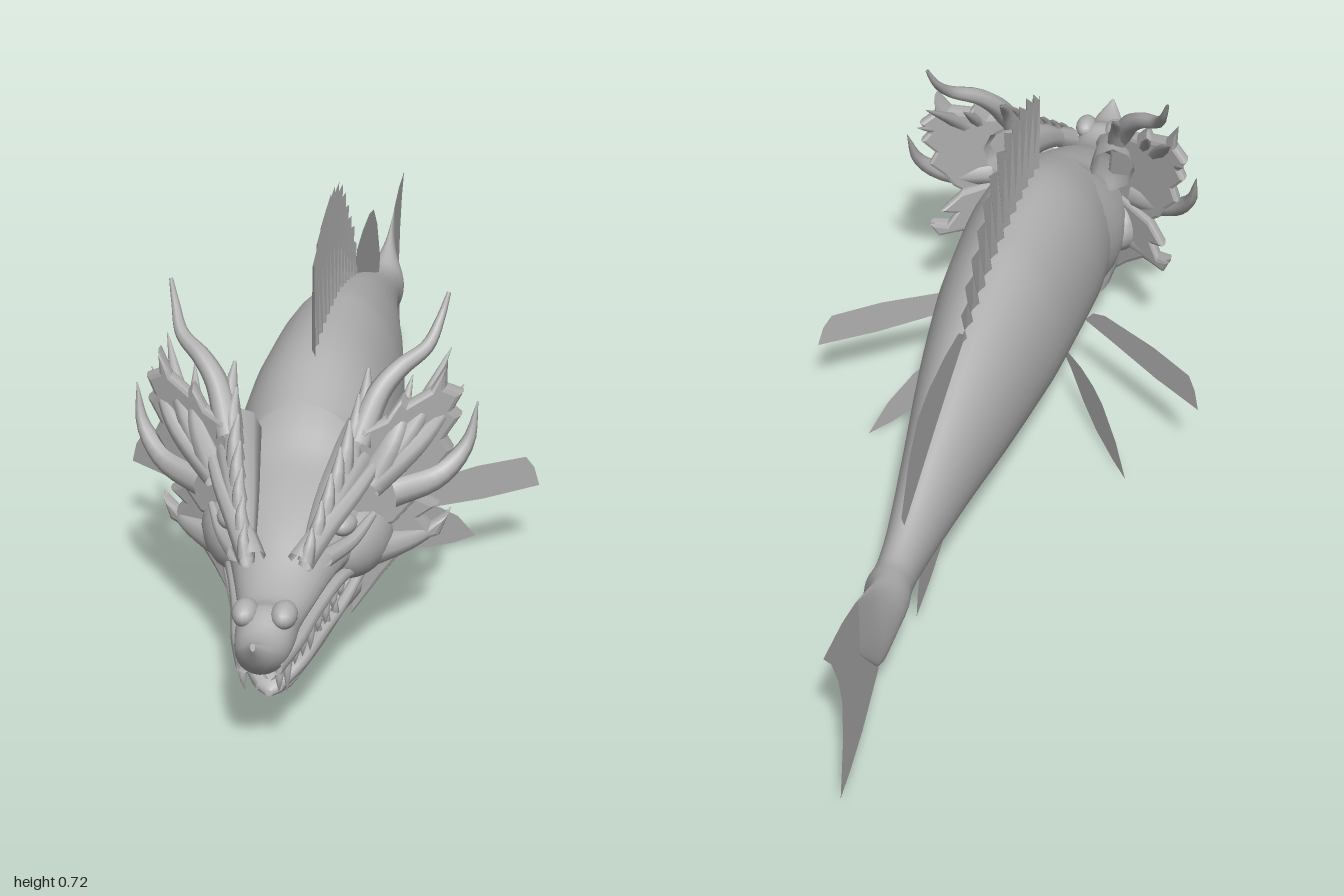
import * as THREE from 'three';

const grey = new THREE.MeshStandardMaterial({ color: 0xb0b0b0, side: THREE.DoubleSide });
grey.name = 'stone grey';
const V = (p) => new THREE.Vector3(...p);

function add(group, name, geo) {
  const m = new THREE.Mesh(geo, grey);
  m.name = name;
  group.add(m);
  return m;
}

// Smooth skin over oval rings [z, bottom, waist height, top, half width], front to back
function loft(rings, steps = 3, n = 28) {
  const last = rings.length - 1, count = last * steps;
  const pos = [], idx = [];
  const cat = (a, b, c, d, t) => 0.5 * (2 * b + (c - a) * t + (2 * a - 5 * b + 4 * c - d) * t * t + (3 * b - a - 3 * c + d) * t ** 3);
  for (let i = 0; i <= count; i++) {
    const k = Math.min(Math.floor(i / steps), last - 1), t = i / steps - k;
    const at = (q) => rings[Math.max(0, Math.min(last, q))];
    const [z, bot, mid, top, w] = rings[0].map((_, c) => cat(at(k - 1)[c], at(k)[c], at(k + 1)[c], at(k + 2)[c], t));
    for (let j = 0; j < n; j++) {
      const a = (j / n) * Math.PI * 2, s = Math.sin(a);
      pos.push(w * Math.cos(a), mid + s * (s > 0 ? top - mid : mid - bot), z);
    }
  }
  for (let i = 0; i < count; i++) for (let j = 0; j < n; j++) {
    const a = i * n + j, b = i * n + (j + 1) % n;
    idx.push(a, a + n, b, b, a + n, b + n);
  }
  const g = new THREE.BufferGeometry();
  g.setAttribute('position', new THREE.Float32BufferAttribute(pos, 3));
  g.setIndex(idx);
  g.computeVertexNormals();
  return g;
}

// Curved tapering spike through points
function spike(points, r, segs = 12, tip = 0.03) {
  const curve = new THREE.CatmullRomCurve3(points.map(V));
  const g = new THREE.TubeGeometry(curve, segs, r, 8);
  const p = g.attributes.position, v = new THREE.Vector3();
  for (let i = 0; i < p.count; i++) {
    const u = Math.floor(i / 9) / segs;
    v.fromBufferAttribute(p, i).sub(curve.getPointAt(u)).multiplyScalar(1 - (1 - tip) * u ** 1.4).add(curve.getPointAt(u));
    p.setXYZ(i, v.x, v.y, v.z);
  }
  return g;
}

// Flat outline placed in space by a rule (a, b) -> [x, y, z]
function plate(outline, rule) {
  const g = new THREE.ShapeGeometry(new THREE.Shape(outline.map((p) => new THREE.Vector2(...p))));
  const p = g.attributes.position;
  for (let i = 0; i < p.count; i++) p.setXYZ(i, ...rule(p.getX(i), p.getY(i)));
  g.computeVertexNormals();
  return g;
}

// Thick bevelled frill in the x-y plane, swept backwards as x grows
function frill(outline, z0, slope) {
  const g = new THREE.ExtrudeGeometry(new THREE.Shape(outline.map((p) => new THREE.Vector2(...p))),
    { depth: 0.012, bevelEnabled: true, bevelThickness: 0.012, bevelSize: 0.008, bevelOffset: -0.008, bevelSegments: 2 });
  const p = g.attributes.position;
  for (let i = 0; i < p.count; i++) p.setZ(i, p.getZ(i) + z0 - slope * (p.getX(i) - 0.1));
  g.computeVertexNormals();
  return g;
}

function ball(group, name, at, scale, tilt = [0, 0, 0]) {
  const m = add(group, name, new THREE.SphereGeometry(1, 16, 12));
  m.position.set(...at);
  m.scale.set(...scale);
  m.rotation.set(...tilt);
}

// Everything that exists once per side, built for +x
function buildSide() {
  const s = new THREE.Group();
  add(s, 'horn', spike([[0.11, 0.43, 0.58], [0.14, 0.505, 0.53], [0.17, 0.538, 0.5], [0.213, 0.565, 0.46], [0.232, 0.605, 0.42], [0.243, 0.643, 0.4]], 0.024, 24, 0.15));
  add(s, 'earFrill', frill([[0.08, 0.27], [0.09, 0.4], [0.12, 0.46], [0.155, 0.47], [0.18, 0.505], [0.19, 0.49], [0.225, 0.505], [0.25, 0.545],
    [0.25, 0.505], [0.277, 0.487], [0.262, 0.46], [0.275, 0.445], [0.25, 0.41], [0.262, 0.385], [0.235, 0.35], [0.22, 0.32], [0.17, 0.27]], 0.585, 0.75));
  add(s, 'earSpike', spike([[0.16, 0.33, 0.55], [0.24, 0.345, 0.5], [0.285, 0.39, 0.465], [0.3, 0.46, 0.44]], 0.03));
  for (const [x, y, z] of [[0.25, 0.545, 0.41], [0.275, 0.487, 0.43], [0.19, 0.515, 0.47]])
    add(s, 'frillRib', spike([[0.13, 0.36, 0.59], [(0.13 + x) / 2 + 0.01, (0.36 + y) / 2, (0.59 + z) / 2 + 0.02], [x, y, z]], 0.028));
  add(s, 'cheekFrill', frill([[0.09, 0.32], [0.2, 0.31], [0.238, 0.275], [0.21, 0.262], [0.225, 0.24], [0.255, 0.252], [0.24, 0.215], [0.19, 0.212], [0.15, 0.17], [0.1, 0.11]], 0.575, 0.85));
  add(s, 'cheekSpike', spike([[0.12, 0.23, 0.58], [0.2, 0.225, 0.5], [0.235, 0.23, 0.46], [0.256, 0.255, 0.44]], 0.032));
  ball(s, 'cheek', [0.11, 0.25, 0.575], [0.05, 0.065, 0.09], [0, -0.4, 0]);

  // Brow, eye and crown ridge
  add(s, 'brow', spike([[0.04, 0.295, 0.77], [0.075, 0.335, 0.71], [0.115, 0.37, 0.64], [0.155, 0.41, 0.55]], 0.024, 12, 0.3));
  ball(s, 'eye', [0.1, 0.318, 0.665], [0.018, 0.018, 0.028], [0, -0.4, 0]);
  add(s, 'lowerLid', spike([[0.075, 0.285, 0.73], [0.112, 0.288, 0.66], [0.14, 0.31, 0.6]], 0.016, 10, 0.4));
  add(s, 'crownRidge', spike([[0.115, 0.41, 0.5], [0.1, 0.395, 0.57], [0.075, 0.355, 0.67], [0.05, 0.29, 0.77]], 0.045, 16, 0.3));
  for (let i = 0; i < 7; i++) {
    const t = i / 6, x = 0.05 + 0.06 * t, y = 0.3 + 0.135 * t, z = 0.775 - 0.215 * t, h = 0.045 + 0.05 * t;
    add(s, 'crownSpine', spike([[x, y, z], [x + 0.006, y + h * 0.6, z - h * 0.3], [x + 0.006, y + h, z - h * 0.75]], 0.014 + 0.006 * t, 6, 0.15));
  }

  // Snout details
  ball(s, 'nostril', [0.032, 0.258, 0.885], [0.022, 0.022, 0.032]);
  add(s, 'upperLip', spike([[0.025, 0.19, 0.94], [0.048, 0.198, 0.86], [0.065, 0.208, 0.77], [0.095, 0.22, 0.66], [0.12, 0.2, 0.58]], 0.014, 16, 0.7));
  add(s, 'lowerLip', spike([[0.012, 0.105, 0.845], [0.045, 0.128, 0.8], [0.07, 0.145, 0.72], [0.095, 0.165, 0.65], [0.12, 0.2, 0.58]], 0.013, 16, 0.7));

  // Teeth along both jaws
  for (let i = 0; i < 9; i++) {
    const t = i / 8, x = 0.03 + 0.062 * t, z = 0.925 - 0.26 * t, h = [0.055, 0.075, 0.045, 0.05, 0.06, 0.045, 0.05, 0.04, 0.035][i];
    add(s, 'upperTooth', spike([[x, 0.19 + 0.025 * t, z], [x, 0.19 + 0.025 * t - h * 0.5, z + 0.003], [x - 0.002, 0.19 + 0.025 * t - h, z - 0.006]], 0.009, 5));
    if (i > 6) continue;
    const u = i / 6, h2 = i === 1 ? 0.065 : 0.04;
    add(s, 'lowerTooth', spike([[0.02 + 0.065 * u, 0.11 + 0.045 * u, 0.83 - 0.15 * u], [0.021 + 0.065 * u, 0.11 + 0.045 * u + h2 / 2, 0.833 - 0.15 * u],
      [0.021 + 0.063 * u, 0.11 + 0.045 * u + h2, 0.825 - 0.15 * u]], 0.008, 5));
  }

  // Paired fins, swept back
  add(s, 'pectoralFin', plate([[0.11, 0.165], [0.13, 0.195], [0.16, 0.21], [0.28, 0.22], [0.365, 0.215], [0.38, 0.19], [0.39, 0.15], [0.29, 0.15], [0.18, 0.16]],
    (x, y) => [x, y, 0.295 - (x - 0.135) * 0.75]));
  add(s, 'pelvicFin', plate([[0.06, 0.115], [0.13, 0.125], [0.165, 0.12], [0.195, 0.105], [0.235, 0.06], [0.265, 0.003], [0.23, 0.007], [0.18, 0.023], [0.14, 0.05], [0.1, 0.09]],
    (x, y) => [x, y, 0.27 - (x - 0.08) * 1.27]));
  return s;
}

export function createModel() {
  const model = new THREE.Group();
  model.name = 'dragonFish';

  add(model, 'body', loft([
    [0.47, 0.09, 0.26, 0.45, 0.13], [0.36, 0.095, 0.28, 0.492, 0.14], [0.25, 0.1, 0.29, 0.508, 0.139], [0.1, 0.11, 0.29, 0.505, 0.131],
    [0, 0.12, 0.29, 0.492, 0.121], [-0.17, 0.135, 0.285, 0.45, 0.098], [-0.35, 0.16, 0.27, 0.388, 0.069], [-0.53, 0.183, 0.25, 0.32, 0.043],
    [-0.62, 0.187, 0.245, 0.297, 0.036], [-0.67, 0.172, 0.24, 0.303, 0.04], [-0.72, 0.128, 0.24, 0.32, 0.024], [-0.76, 0.165, 0.25, 0.338, 0.012], [-0.82, 0.24, 0.29, 0.362, 0.002]], 4, 32));

  add(model, 'skullAndUpperJaw', loft([
    [1.0, 0.25, 0.258, 0.265, 0.004], [0.97, 0.2, 0.23, 0.252, 0.028], [0.93, 0.172, 0.21, 0.25, 0.042], [0.885, 0.18, 0.215, 0.27, 0.05], [0.84, 0.188, 0.22, 0.262, 0.052],
    [0.78, 0.2, 0.23, 0.28, 0.066], [0.7, 0.212, 0.25, 0.325, 0.09], [0.62, 0.18, 0.265, 0.36, 0.12], [0.55, 0.12, 0.265, 0.385, 0.14],
    [0.48, 0.1, 0.265, 0.43, 0.145], [0.4, 0.11, 0.28, 0.47, 0.133]]));

  add(model, 'lowerJaw', loft([
    [0.855, 0.088, 0.093, 0.1, 0.006], [0.83, 0.084, 0.102, 0.115, 0.034], [0.78, 0.09, 0.118, 0.13, 0.056], [0.72, 0.098, 0.13, 0.142, 0.075],
    [0.64, 0.108, 0.155, 0.175, 0.1], [0.56, 0.1, 0.17, 0.22, 0.125], [0.46, 0.092, 0.18, 0.24, 0.128]]));
  add(model, 'chinBarb', spike([[0, 0.12, 0.6], [0, 0.092, 0.53], [0, 0.055, 0.475]], 0.035));

  // Spiny dorsal fin: pleated strip with a toothed upper edge
  const crest = new THREE.CatmullRomCurve3([[0, 0.66, 0.36], [0, 0.7, 0.28], [0, 0.725, 0.13], [0, 0.69, 0.0], [0, 0.6, -0.1], [0, 0.53, -0.175], [0, 0.455, -0.195]].map(V));
  const foot = new THREE.CatmullRomCurve3([[0, 0.47, 0.36], [0, 0.49, 0.18], [0, 0.47, 0], [0, 0.42, -0.19]].map(V));
  const pos = [], idx = [], folds = 26;
  for (let i = 0; i <= folds; i++) {
    const a = foot.getPointAt(i / folds), b = crest.getPointAt(i / folds), odd = i % 2;
    b.lerp(a, odd ? 0.1 : 0);
    if (!odd) b.z -= 0.008;
    pos.push(odd ? -0.005 : 0.005, a.y, a.z, odd ? -0.004 : 0.002, b.y, b.z);
    if (i < folds) idx.push(2 * i, 2 * i + 1, 2 * i + 2, 2 * i + 2, 2 * i + 1, 2 * i + 3);
  }
  const pleats = new THREE.BufferGeometry();
  pleats.setAttribute('position', new THREE.Float32BufferAttribute(pos, 3));
  pleats.setIndex(idx);
  const flat = pleats.toNonIndexed();
  flat.computeVertexNormals();
  add(model, 'spinyDorsalFin', flat);

  // Flat fins on the centre line, outlines in (z, y)
  const centre = (z, y) => [0, y, z];
  add(model, 'rearDorsalFin', plate([[-0.18, 0.43], [-0.19, 0.465], [-0.215, 0.485], [-0.3, 0.495], [-0.4, 0.495], [-0.47, 0.48], [-0.525, 0.43], [-0.575, 0.34], [-0.555, 0.305], [-0.35, 0.36]], centre));
  add(model, 'analFin', plate([[-0.22, 0.15], [-0.26, 0.118], [-0.32, 0.088], [-0.41, 0.06], [-0.5, 0.045], [-0.49, 0.095], [-0.47, 0.135], [-0.44, 0.185], [-0.33, 0.18]], centre));
  add(model, 'tailFin', plate([[-0.8, 0.35], [-0.83, 0.366], [-0.9, 0.382], [-0.995, 0.388], [-0.96, 0.345], [-0.93, 0.28], [-0.915, 0.215], [-0.92, 0.13], [-0.945, 0.018],
    [-0.89, 0.032], [-0.82, 0.06], [-0.725, 0.118], [-0.72, 0.16], [-0.78, 0.24]], centre));

  // Mirrored halves
  for (const dir of [1, -1]) {
    const side = buildSide();
    side.name = dir > 0 ? 'leftSide' : 'rightSide';
    side.scale.x = dir;
    model.add(side);
  }
  return model;
}
